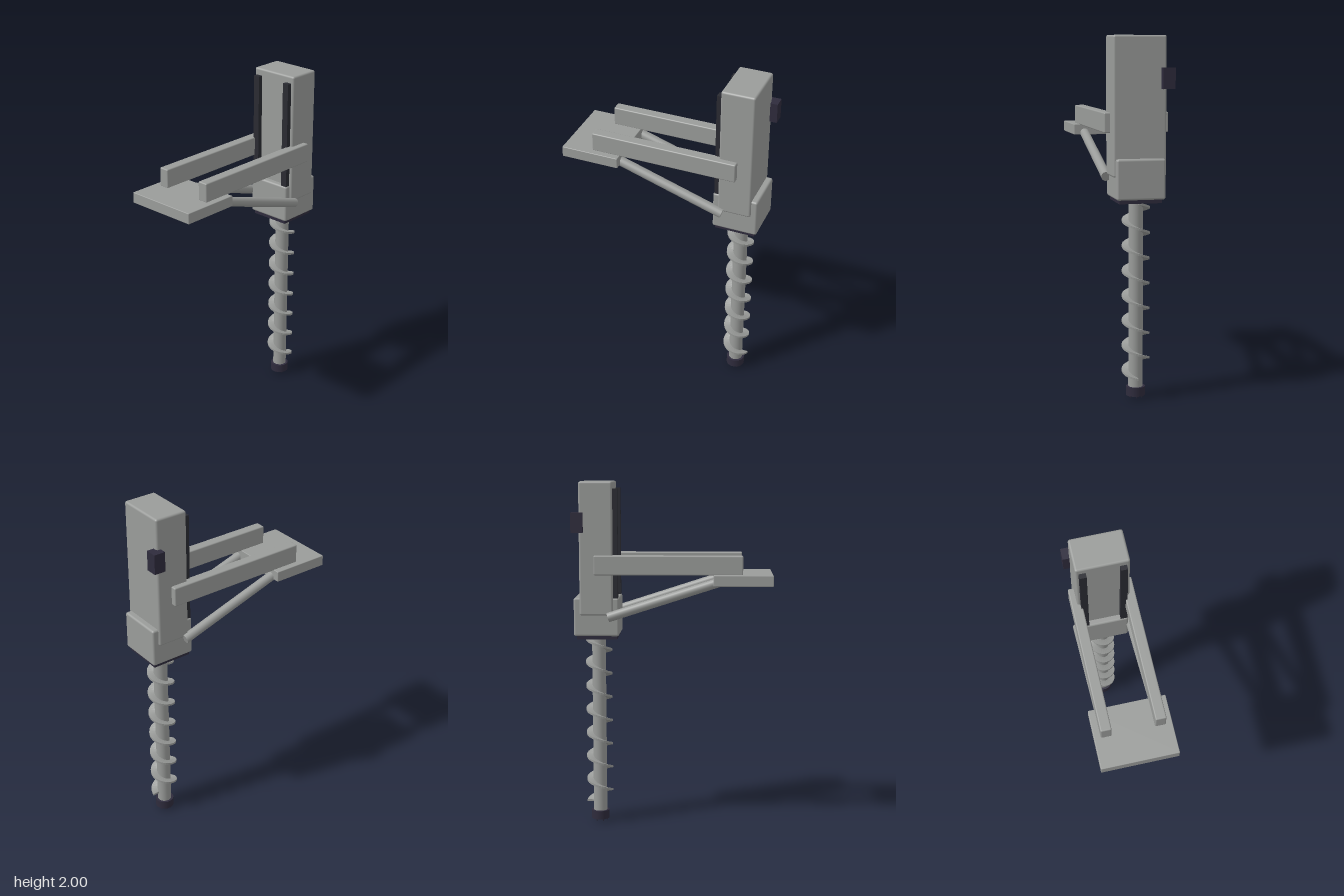
import * as THREE from 'three';
import { RoundedBoxGeometry } from 'three/addons/geometries/RoundedBoxGeometry.js';

const material = (name, color) => {
  const m = new THREE.MeshStandardMaterial({ color });
  m.name = name;
  return m;
};

// Closed spiral ribbon with a rectangular section, starting at +x and climbing through +z
function spiralFlight(inner, outer, thickness, y0, pitch, turns) {
  const steps = turns * 32, pos = [], idx = [];
  const section = [[inner, -1], [outer, -1], [outer, 1], [inner, 1]];
  const ring = (t) => {
    const a = t * Math.PI * 2;
    return section.map(([r, s]) =>
      [r * Math.cos(a), y0 + pitch * t + s * thickness / 2, r * Math.sin(a)]);
  };
  const quad = (a, b, c, d) => {
    const n = pos.length / 3;
    pos.push(...a, ...b, ...c, ...d);
    idx.push(n, n + 1, n + 2, n, n + 2, n + 3);
  };
  for (let i = 0; i < steps; i++) {
    const p = ring(i * turns / steps), q = ring((i + 1) * turns / steps);
    for (let k = 0; k < 4; k++) {
      const j = (k + 1) % 4;
      quad(p[k], p[j], q[j], q[k]);
    }
  }
  quad(...ring(0).reverse());
  quad(...ring(turns));
  const g = new THREE.BufferGeometry();
  g.setAttribute('position', new THREE.Float32BufferAttribute(pos, 3));
  g.setIndex(idx);
  g.computeVertexNormals();
  return g;
}

export function createModel() {
  const model = new THREE.Group();
  model.name = 'augerDrill';
  const steel = material('steel grey', 0x9a9c9a);
  const dark = material('dark violet', 0x2e2b3c);
  const railMat = material('rail black', 0x2a2b32);
  steel.side = THREE.DoubleSide;

  const add = (name, geometry, mat, x = 0, y = 0, z = 0) => {
    const mesh = new THREE.Mesh(geometry, mat);
    mesh.name = name;
    mesh.position.set(x, y, z);
    model.add(mesh);
    return mesh;
  };
  // Box given by its limits, rounded when r > 0
  const box = (name, mat, [x0, x1], [y0, y1], [z0, z1], r = 0) => {
    const size = [x1 - x0, y1 - y0, z1 - z0];
    const g = r ? new RoundedBoxGeometry(...size, 3, r) : new THREE.BoxGeometry(...size);
    return add(name, g, mat, (x0 + x1) / 2, (y0 + y1) / 2, (z0 + z1) / 2);
  };

  // Mast, gearbox and control box
  box('mast', steel, [0.335, 0.525], [1.245, 2], [-0.146, 0.146], 0.012);
  box('gearbox', steel, [0.302, 0.56], [1.125, 1.345], [-0.134, 0.134], 0.012);
  box('gearboxBase', dark, [0.315, 0.545], [1.105, 1.13], [-0.118, 0.118]);
  box('controlBox', dark, [0.5, 0.566], [1.715, 1.828], [-0.183, -0.116]);

  // Platform
  box('platform', steel, [-0.57, -0.235], [1.42, 1.482], [-0.214, 0.214], 0.004);

  // Mirrored rails, arms and diagonal struts
  for (const s of [-1, 1]) {
    const side = s > 0 ? 'front' : 'back';
    const span = (a, b) => (s > 0 ? [a, b] : [-b, -a]);
    box(side + 'Rail', railMat, [0.308, 0.338], [1.34, 1.96], span(0.09, 0.128));
    box(side + 'Arm', steel, [-0.4, 0.44], [1.478, 1.588], span(0.118, 0.178), 0.007);
    const a = new THREE.Vector3(-0.27, 1.44, s * 0.15);
    const b = new THREE.Vector3(0.362, 1.236, s * 0.15);
    const dir = b.clone().sub(a);
    const strut = add(side + 'Strut',
      new THREE.CylinderGeometry(0.027, 0.027, dir.length(), 20), steel);
    strut.position.copy(a).add(b).multiplyScalar(0.5);
    strut.quaternion.setFromUnitVectors(new THREE.Vector3(0, 1, 0), dir.normalize());
  }

  // Auger: shaft, spiral flight and cutting head with teeth
  const cx = 0.43;
  add('augerShaft', new THREE.CylinderGeometry(0.04, 0.04, 1.06, 28), steel, cx, 0.59, 0);
  add('augerFlight', spiralFlight(0.038, 0.077, 0.012, 0.12, 0.14, 7), steel, cx, 0, 0);
  add('cuttingHead', new THREE.CylinderGeometry(0.053, 0.053, 0.05, 24), dark, cx, 0.043, 0);
  for (let i = 0; i < 6; i++) {
    const a = i * Math.PI / 3;
    const tooth = add('headTooth', new THREE.ConeGeometry(0.011, 0.03, 8), dark,
      cx + 0.038 * Math.cos(a), 0.015, 0.038 * Math.sin(a));
    tooth.rotation.x = Math.PI;
  }
  return model;
}
